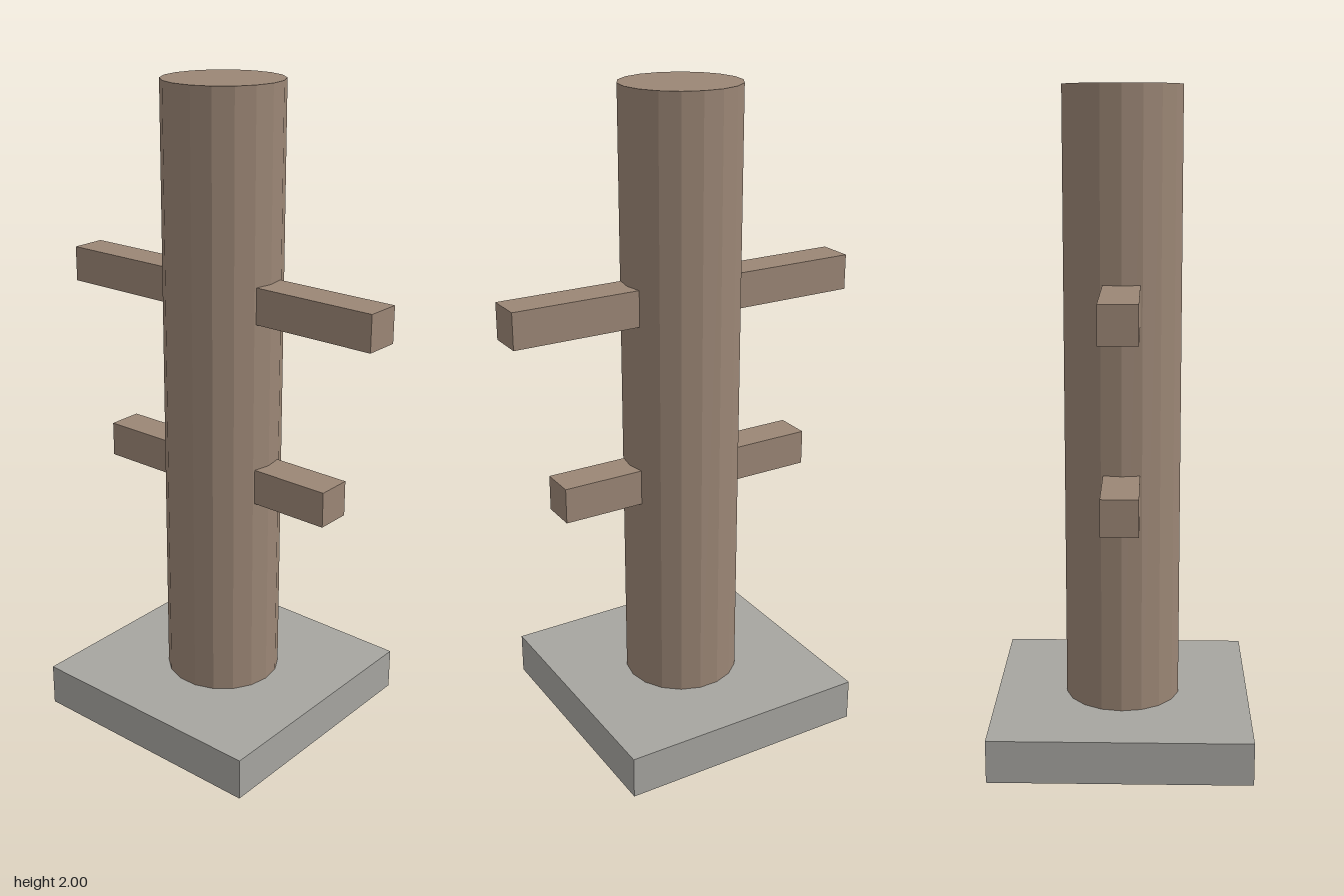
import * as THREE from 'three';

export function createModel() {
  const wood = new THREE.MeshStandardMaterial({ color: 0x9b8675, flatShading: true });
  wood.name = 'wood';
  const stone = new THREE.MeshStandardMaterial({ color: 0xa6a5a0, flatShading: true });
  stone.name = 'stone';

  const model = new THREE.Group();
  model.name = 'trainingPost';
  const add = (name, geometry, material, x, y) => {
    const mesh = new THREE.Mesh(geometry, material);
    mesh.name = name;
    mesh.position.set(x, y, 0);
    model.add(mesh);
    return mesh;
  };

  // Round post, with a corner of its 18 sides pointing along x
  const radius = 0.176;
  add('post', new THREE.CylinderGeometry(radius, radius, 2, 18), wood, 0, 1).rotation.y = Math.PI / 2;

  // Square slab that the post passes through
  add('base', new THREE.BoxGeometry(0.776, 0.13, 0.776), stone, 0, 0.093);

  // Two pairs of pegs, rooted inside the post
  const thickness = 0.108, root = 0.1;
  for (const [level, y, reach] of [['upper', 1.392, 0.554], ['lower', 0.837, 0.415]]) {
    for (const [side, s] of [['Left', 1], ['Right', -1]]) {
      add(level + side + 'Peg', new THREE.BoxGeometry(reach - root, thickness, thickness), wood,
        s * (reach + root) / 2, y);
    }
  }
  return model;
}
